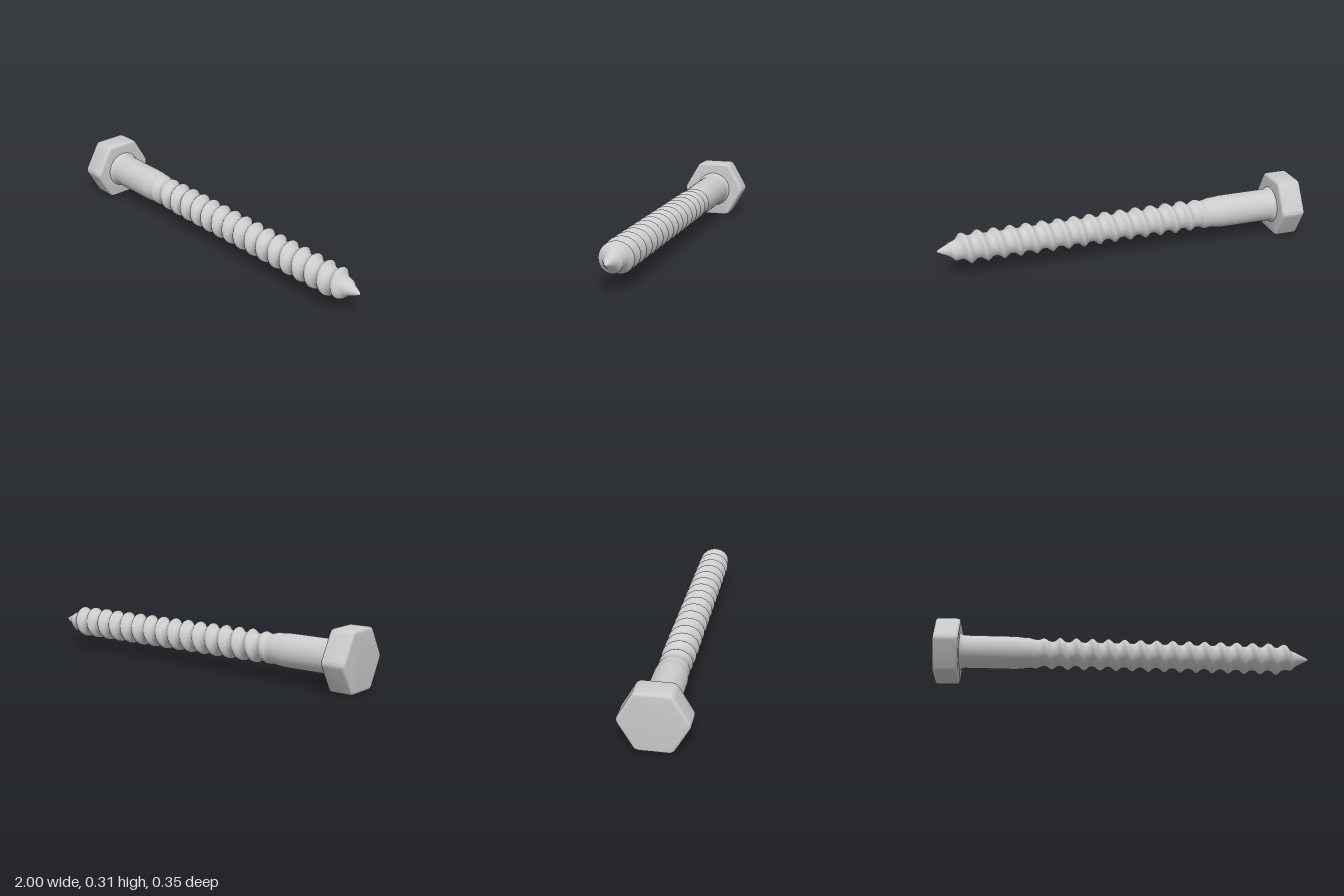
import * as THREE from 'three';
import { toCreasedNormals } from 'three/addons/utils/BufferGeometryUtils.js';

const AXIS_Y = 0.157;
const PITCH = 0.0862;
const material = new THREE.MeshStandardMaterial({ color: 0xcccccc });

// Smooth core outline of the shaft: [x, radius]
const core = [
  [-0.89, 0.102], [-0.868, 0.1], [-0.855, 0.09], [-0.84, 0.088], [-0.57, 0.088],
  [-0.5, 0.08], [-0.42, 0.068], [-0.35, 0.066], [0.84, 0.065], [0.88, 0.058],
  [0.92, 0.043], [0.96, 0.024], [0.985, 0.012], [0.995, 0.006], [1, 0],
];

function coreRadius(x) {
  let i = 0;
  while (i < core.length - 2 && x > core[i + 1][0]) i++;
  const [x0, r0] = core[i], [x1, r1] = core[i + 1];
  return THREE.MathUtils.lerp(r0, r1, Math.min(1, (x - x0) / (x1 - x0)));
}

// Height of the right-handed helical ridge, fading at both ends
function ridgeHeight(x, angle) {
  const { smoothstep } = THREE.MathUtils;
  const wave = 0.5 + 0.5 * Math.cos(2 * Math.PI * x / PITCH - angle);
  const fade = smoothstep(x, -0.56, -0.34) * (1 - smoothstep(x, 0.875, 0.95));
  return 0.0215 * Math.pow(wave, 1.7) * fade;
}

// Shaft built from rings along x, with the ridge added to the core radius
function shaftGeometry(rings = 400, sides = 44) {
  const positions = [], indices = [];
  for (let i = 0; i <= rings; i++) {
    const x = THREE.MathUtils.lerp(-0.89, 1, i / rings);
    const cy = THREE.MathUtils.mapLinear(x, -0.89, 1, 0.156, 0.149);
    for (let j = 0; j < sides; j++) {
      const a = 2 * Math.PI * j / sides;
      const r = coreRadius(x) + ridgeHeight(x, a);
      positions.push(x, cy + r * Math.cos(a), r * Math.sin(a));
      if (i < rings) {
        const p = i * sides + j, q = i * sides + (j + 1) % sides;
        indices.push(p, q, p + sides, q, q + sides, p + sides);
      }
    }
  }
  const g = new THREE.BufferGeometry();
  g.setAttribute('position', new THREE.Float32BufferAttribute(positions, 3));
  g.setIndex(indices);
  g.computeVertexNormals();
  return g;
}

// Hexagonal head with rounded corners and softened rims
function headGeometry() {
  const bevel = 0.016, length = 0.132;
  const radius = (AXIS_Y - bevel) / Math.cos(Math.PI / 6);
  const corner = (k) => new THREE.Vector2(
    radius * Math.cos(k * Math.PI / 3), radius * Math.sin(k * Math.PI / 3));
  const shape = new THREE.Shape();
  for (let k = 0; k < 6; k++) {
    const c = corner(k);
    const a = c.clone().lerp(corner(k - 1), 0.07);
    const b = c.clone().lerp(corner(k + 1), 0.07);
    if (k === 0) shape.moveTo(a.x, a.y);
    else shape.lineTo(a.x, a.y);
    shape.quadraticCurveTo(c.x, c.y, b.x, b.y);
  }
  shape.closePath();
  const g = new THREE.ExtrudeGeometry(shape, {
    depth: length - 2 * bevel, bevelThickness: bevel, bevelSize: bevel,
    bevelSegments: 5, curveSegments: 5,
  });
  g.rotateY(Math.PI / 2);
  g.translate(-1 + bevel, AXIS_Y, 0);
  return toCreasedNormals(g, 0.6);
}

export function createModel() {
  const group = new THREE.Group();
  const add = (name, geometry) => {
    const mesh = new THREE.Mesh(geometry, material);
    mesh.name = name;
    group.add(mesh);
  };
  add('hexHead', headGeometry());
  add('threadedShaft', shaftGeometry());
  return group;
}
